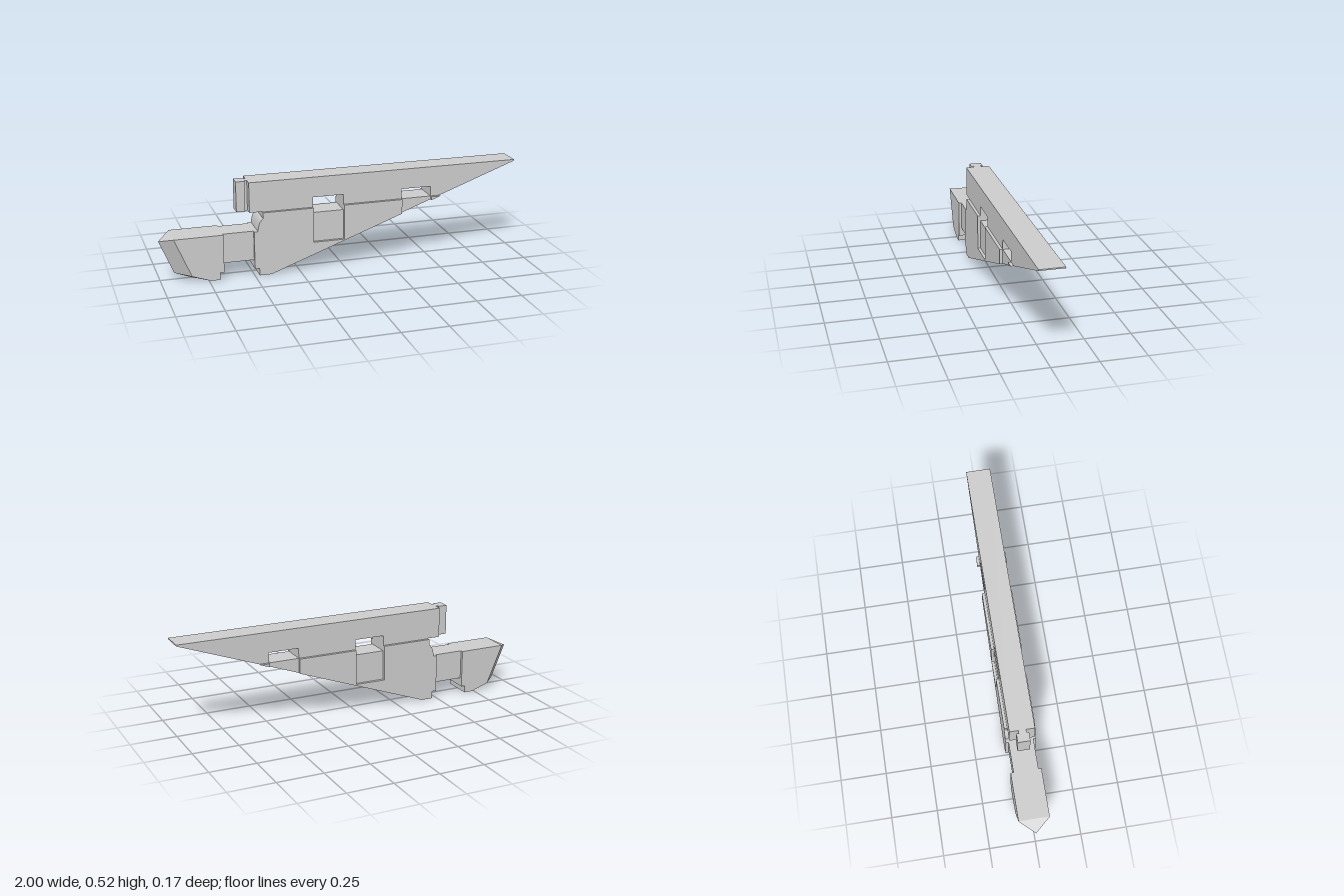
import * as THREE from 'three';

const CORE = 0.067, WIDE = 0.083;
const under = x => (x + 0.41) * 0.364; // sloping underside line

export function createModel() {
  const model = new THREE.Group();
  const mat = new THREE.MeshStandardMaterial({ color: 0xcccccc, flatShading: true });
  const add = (name, geo) => {
    const mesh = new THREE.Mesh(geo, mat);
    mesh.name = name;
    model.add(mesh);
    return mesh;
  };
  const poly = pts => pts.map(p => new THREE.Vector2(...p));
  const slab = (shape, z0, z1, steps = 1) =>
    new THREE.ExtrudeGeometry(shape, { depth: z1 - z0, bevelEnabled: false, steps }).translate(0, 0, z0);
  const box = (name, x0, x1, y0, y1, z) =>
    add(name, new THREE.BoxGeometry(x1 - x0, y1 - y0, 2 * z).translate((x0 + x1) / 2, (y0 + y1) / 2, 0));

  // Rear edge shared by the core and the side plates, from shoulder to foot
  const rear = [
    ...new THREE.QuadraticBezierCurve(
      new THREE.Vector2(-0.45, 0.32), new THREE.Vector2(-0.475, 0.305), new THREE.Vector2(-0.48, 0.25)
    ).getPoints(5).map(p => [p.x, p.y]),
    [-0.5, 0.25], [-0.5, 0.04], [-0.475, 0.04], [-0.475, 0], [-0.41, 0],
  ];

  // Long tapering core with two windows
  const core = new THREE.Shape(poly([
    [-0.52, 0.52], [-0.52, 0.354], [-0.45, 0.354], ...rear, [1, under(1)], [1, 0.52],
  ]));
  for (const [x0, x1, y0, y1] of [[-0.17, 0, 0.322, 0.408], [0.333, 0.503, 0.352, 0.408]])
    core.holes.push(new THREE.Path(poly([[x0, y0], [x1, y0], [x1, y1], [x0, y1]])));
  add('taperedBody', slab(core, -CORE, CORE));

  // Raised plates on both sides, notched under the first window
  const plate = new THREE.Shape(poly([
    [-0.45, 0.352], ...rear, [0.333, under(0.333)], [0.333, 0.352],
    [0, 0.352], [0, 0.157], [-0.17, 0.157], [-0.17, 0.352],
  ]));
  const tab = new THREE.Shape(poly([[0.503, 0.352], [0.503, under(0.503)], [0.557, 0.352]]));
  for (const [side, z0, z1] of [['front', CORE, WIDE], ['back', -WIDE, -CORE]]) {
    add(side + 'SidePlate', slab(plate, z0, z1));
    add(side + 'SmallTab', slab(tab, z0, z1));
  }

  // T-shaped key on the rear end of the beam
  box('keyNeck', -0.54, -0.515, 0.354, 0.52, 0.02);
  box('keyHead', -0.583, -0.535, 0.354, 0.52, 0.033);

  // Neck between body and nose
  box('neck', -0.68, -0.49, 0.087, 0.25, CORE);

  // Nose block: a slab whose middle layer is pulled out to a pointed ridge
  const side = [
    [-0.929, 0.25], [-0.93, 0.25], [-0.84, 0.035], [-0.74, 0],
    [-0.69, 0], [-0.69, 0.04], [-0.667, 0.04], [-0.667, 0.25],
  ];
  const ridge = { 1: [-1, 0.22], 2: [-0.922, 0.035], 3: [-0.83, 0] };
  const nose = slab(new THREE.Shape(poly(side)), -WIDE, WIDE, 2);
  const pos = nose.attributes.position;
  for (let i = 0; i < pos.count; i++) {
    if (Math.abs(pos.getZ(i)) > 0.01) continue;
    const k = side.findIndex(([x, y]) => Math.hypot(x - pos.getX(i), y - pos.getY(i)) < 0.0004);
    if (ridge[k]) pos.setXY(i, ...ridge[k]);
  }
  nose.computeVertexNormals();
  add('nose', nose);

  return model;
}
